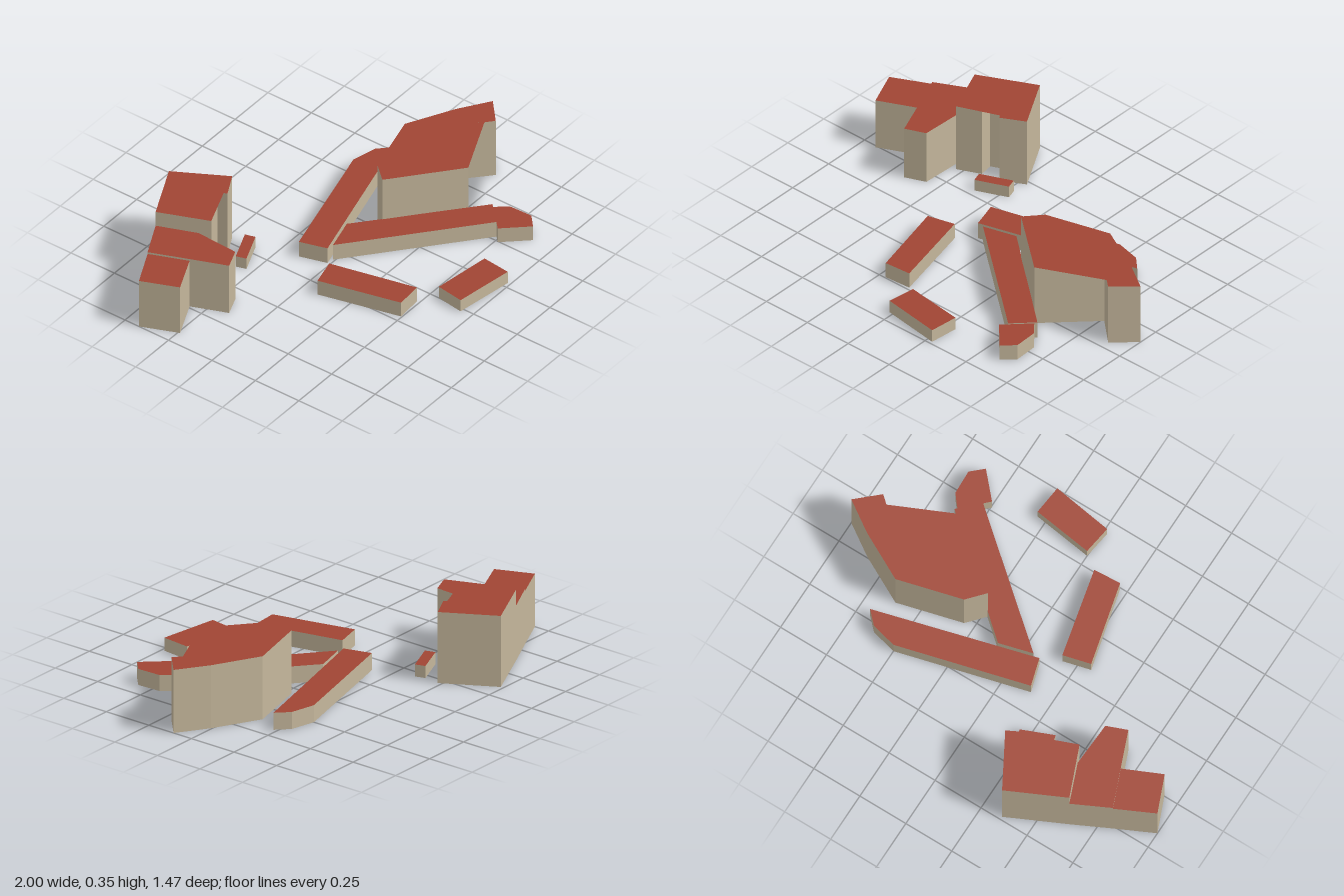
import * as THREE from 'three';

const wallMat = new THREE.MeshStandardMaterial({ color: 0xc4b69b, side: THREE.DoubleSide });
const roofMat = new THREE.MeshStandardMaterial({ color: 0xa04534, side: THREE.DoubleSide });
const floorMat = new THREE.MeshStandardMaterial({ color: 0x333333 });

// Flat walls rising from a closed footprint of [x, z] corners
function wallGeometry(plan, h) {
  const pos = [];
  plan.forEach(([ax, az], i) => {
    const [bx, bz] = plan[(i + 1) % plan.length];
    pos.push(ax, 0, az, ax, h, az, bx, h, bz, ax, 0, az, bx, h, bz, bx, 0, bz);
  });
  const g = new THREE.BufferGeometry();
  g.setAttribute('position', new THREE.Float32BufferAttribute(pos, 3));
  g.computeVertexNormals();
  return g;
}

// Horizontal slab face, looking up (dir = 1) or down (dir = -1)
function slabGeometry(plan, y, dir) {
  const shape = new THREE.Shape(plan.map(([x, z]) => new THREE.Vector2(x, -z * dir)));
  return new THREE.ShapeGeometry(shape).rotateX(-dir * Math.PI / 2).translate(0, y, 0);
}

// One building: walls, flat roof and floor; the roof may bridge wall recesses
function building(name, h, plan, roofPlan = plan) {
  const group = new THREE.Group();
  group.name = name;
  const add = (part, geometry, material) => {
    const mesh = new THREE.Mesh(geometry, material);
    mesh.name = part;
    group.add(mesh);
  };
  add('walls', wallGeometry(plan, h), wallMat);
  add('roof', slabGeometry(roofPlan, h, 1), roofMat);
  add('floor', slabGeometry(roofPlan, 0, -1), floorMat);
  return group;
}

export function createModel() {
  const model = new THREE.Group();
  model.name = 'buildingCluster';
  model.add(
    // Large hall with an angled annex; the roof spans the inner corner
    building('largeHall', 0.315,
      [[0.225, 0.055], [0.3, -0.03], [0.62, -0.115], [0.85, 0.005], [1, 0.105], [0.89, 0.205], [0.765, 0.09], [0.535, 0.315]],
      [[0.225, 0.055], [0.3, -0.03], [0.62, -0.115], [0.85, 0.005], [1, 0.105], [0.89, 0.205], [0.85, 0.17], [0.535, 0.315]]),
    // Tall house with a recessed porch
    building('tallHouse', 0.355,
      [[-0.635, -0.6], [-0.355, -0.735], [-0.21, -0.48], [-0.325, -0.42], [-0.345, -0.515], [-0.43, -0.475], [-0.42, -0.405], [-0.535, -0.355]],
      [[-0.635, -0.6], [-0.355, -0.735], [-0.21, -0.48], [-0.325, -0.42], [-0.335, -0.435], [-0.535, -0.355]]),
    // Lower house joined to it
    building('houseWing', 0.275, [[-0.815, -0.51], [-0.635, -0.6], [-0.56, -0.41], [-0.57, -0.19], [-0.67, -0.15], [-0.74, -0.325]]),
    building('houseEnd', 0.265, [[-1, -0.42], [-0.815, -0.51], [-0.74, -0.325], [-0.925, -0.24]]),
    // Low outbuildings
    building('backLongShed', 0.085, [[-0.14, -0.15], [0.5, -0.32], [0.625, -0.29], [0.685, -0.23], [-0.1, -0.015]]),
    building('diagonalLongShed', 0.085, [[-0.065, -0.01], [0.1, -0.055], [0.62, 0.39], [0.525, 0.485]]),
    building('cornerShed', 0.08, [[0.61, 0.4], [0.66, 0.46], [0.665, 0.58], [0.605, 0.635], [0.495, 0.515]]),
    building('sideShed', 0.08, [[-0.315, 0.09], [-0.18, 0.055], [-0.08, 0.485], [-0.215, 0.495]]),
    building('frontShed', 0.065, [[0, 0.55], [0.295, 0.59], [0.28, 0.735], [-0.02, 0.69]]),
    building('smallShed', 0.06, [[-0.375, -0.335], [-0.22, -0.4], [-0.205, -0.35], [-0.36, -0.285]]),
  );
  return model;
}
